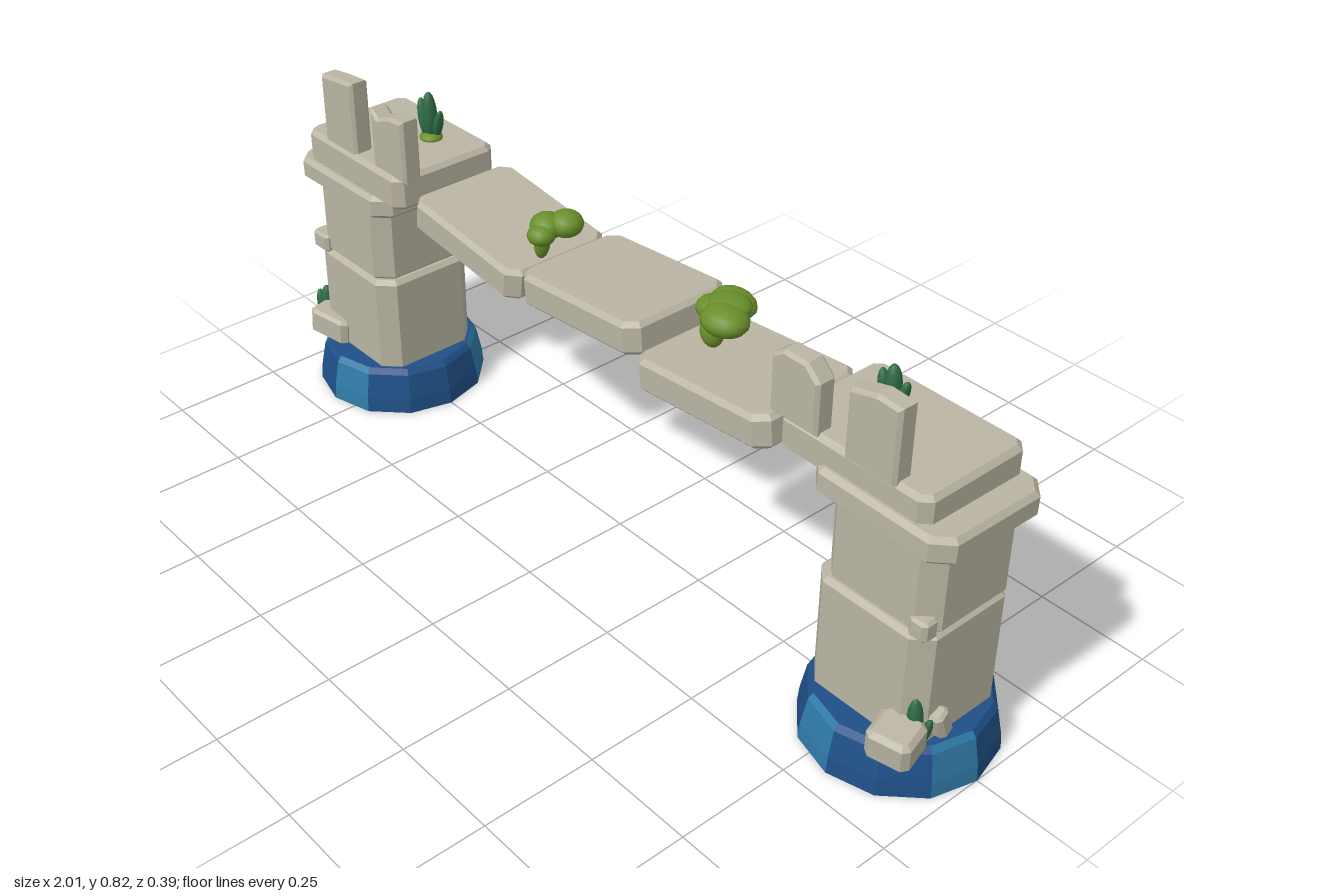
import * as THREE from 'three';

const mat = (name, color, extra = {}) => {
  const m = new THREE.MeshStandardMaterial({ color, ...extra });
  m.name = name;
  return m;
};

export function createModel() {
  const stone = mat('stone', 0xbab5a3);
  const deepBlue = mat('deepBlue', 0x1f5088);
  const lightBlue = mat('lightBlue', 0x2f7aa6);
  const moss = mat('moss', 0x6a8f2a);
  const leaf = mat('leaf', 0x2f6b45);

  const model = new THREE.Group();
  model.name = 'ruinedBridge';

  const add = (parent, name, geo, material, pos, rot = [0, 0, 0]) => {
    const m = new THREE.Mesh(geo, material);
    m.name = name;
    m.position.set(...pos);
    m.rotation.set(...rot);
    parent.add(m);
    return m;
  };

  // Stone block: chamfered upright corners and bevelled top and bottom edges
  const blockGeo = (w, h, d, c, b) => {
    const x = w / 2, z = d / 2;
    const s = new THREE.Shape([
      [x - c, -z], [x, -z + c], [x, z - c], [x - c, z],
      [-x + c, z], [-x, z - c], [-x, -z + c], [-x + c, -z],
    ].map(p => new THREE.Vector2(...p)));
    const g = new THREE.ExtrudeGeometry(s, {
      depth: h - 2 * b, bevelEnabled: true, bevelThickness: b,
      bevelSize: b, bevelOffset: -b, bevelSegments: 1,
    });
    g.translate(0, 0, b - h / 2);
    g.rotateX(-Math.PI / 2);
    return g;
  };

  // Block given by its extents on each axis
  const block = (parent, name, [x0, x1], [y0, y1], [z0, z1], c, b, rot) =>
    add(parent, name, blockGeo(x1 - x0, y1 - y0, z1 - z0, c, b), stone,
      [(x0 + x1) / 2, (y0 + y1) / 2, (z0 + z1) / 2], rot);

  // Broken upright stone: outline seen from the front, with a chipped top
  const upright = (parent, name, outline, z) => {
    const s = new THREE.Shape(outline.map(p => new THREE.Vector2(...p)));
    const g = new THREE.ExtrudeGeometry(s, {
      depth: 0.032, bevelEnabled: true, bevelThickness: 0.007,
      bevelSize: 0.007, bevelOffset: -0.007, bevelSegments: 1,
    });
    add(parent, name, g, stone, [0, 0, z - 0.016]);
  };

  // Faceted foot with some facets in the lighter blue
  const foot = (parent, x, lightFacets) => {
    const profile = [[0, 0], [0.196, 0], [0.193, 0.035], [0.181, 0.095], [0.171, 0.108], [0, 0.108]];
    const sides = 12, per = 6 * (profile.length - 1);
    const g = new THREE.LatheGeometry(profile.map(p => new THREE.Vector2(...p)), sides).toNonIndexed();
    g.computeVertexNormals();
    for (let i = 0; i < sides; i++) {
      const light = lightFacets.includes(i) ? 1 : 0;
      g.addGroup(i * per, 6, 0);
      g.addGroup(i * per + 6, 18, light);
      g.addGroup(i * per + 24, 6, 0);
    }
    add(parent, 'foot', g, [deepBlue, lightBlue], [x, 0, 0]);
  };

  // Group of ellipsoids, each [x, y, z, rx, ry, rz, tilt]
  const blobs = (parent, name, material, list) => {
    const grp = new THREE.Group();
    grp.name = name;
    for (const [x, y, z, rx, ry, rz, tilt = 0] of list) {
      add(grp, name + 'Lobe', new THREE.SphereGeometry(1, 14, 10), material, [x, y, z], [0, 0, tilt])
        .scale.set(rx, ry, rz);
    }
    parent.add(grp);
  };

  // Pointed plant with a mossy tuft at its root
  const plant = (parent, x, y, z, h) => {
    blobs(parent, 'plantLeaf', leaf, [
      [x, y + h * 0.52, z, 0.015, h * 0.48, 0.017, 0.06],
      [x - 0.016, y + h * 0.42, z + 0.006, 0.011, h * 0.42, 0.013, 0.2],
      [x + 0.018, y + h * 0.34, z - 0.008, 0.01, h * 0.34, 0.012, -0.28],
    ]);
    blobs(parent, 'plantRoot', moss, [[x, y + 0.005, z, 0.027, 0.013, 0.026]]);
  };

  // Left tower
  const left = new THREE.Group();
  left.name = 'leftTower';
  model.add(left);
  foot(left, -0.808, [0, 4, 7, 10]);
  block(left, 'lowerPillar', [-0.948, -0.672], [0.1, 0.338], [-0.125, 0.125], 0.035, 0.01);
  block(left, 'upperPillar', [-0.937, -0.682], [0.335, 0.52], [-0.12, 0.12], 0.035, 0.01);
  block(left, 'capital', [-0.978, -0.642], [0.515, 0.568], [-0.14, 0.14], 0.035, 0.009, [0, 0, 0.02]);
  block(left, 'topSlab', [-0.921, -0.57], [0.572, 0.652], [-0.13, 0.138], 0.02, 0.01, [0, 0, 0.01]);
  upright(left, 'tallUpright', [[-0.85, 0.64], [-0.732, 0.64], [-0.732, 0.818], [-0.79, 0.812], [-0.85, 0.802]], 0.108);
  upright(left, 'shortUpright', [[-0.668, 0.645], [-0.553, 0.645], [-0.553, 0.792], [-0.6, 0.788], [-0.645, 0.77], [-0.668, 0.785]], 0.105);
  block(left, 'ledgeStone', [-0.948, -0.892], [0.333, 0.377], [0.09, 0.132], 0.008, 0.006);
  block(left, 'fallenStone', [-0.955, -0.842], [0.107, 0.172], [0.09, 0.155], 0.012, 0.008, [0, 0.25, -0.08]);
  plant(left, -0.692, 0.65, -0.043, 0.112);
  plant(left, -0.962, 0.098, 0.1, 0.105);

  // Right tower
  const right = new THREE.Group();
  right.name = 'rightTower';
  model.add(right);
  foot(right, 0.805, [2, 5, 8, 11]);
  block(right, 'lowerPillar', [0.665, 0.941], [0.1, 0.361], [-0.125, 0.125], 0.035, 0.01);
  block(right, 'upperPillar', [0.682, 0.944], [0.362, 0.545], [-0.12, 0.12], 0.035, 0.01);
  block(right, 'capital', [0.65, 0.972], [0.54, 0.597], [-0.141, 0.141], 0.035, 0.01, [-0.02, 0, -0.015]);
  block(right, 'topSlab', [0.562, 0.915], [0.578, 0.652], [-0.139, 0.125], 0.02, 0.01);
  upright(right, 'tallUpright', [[0.727, 0.64], [0.845, 0.64], [0.845, 0.8], [0.79, 0.803], [0.727, 0.786]], 0.106);
  upright(right, 'shortUpright', [[0.546, 0.645], [0.662, 0.645], [0.662, 0.755], [0.63, 0.785], [0.575, 0.785], [0.546, 0.765]], 0.106);
  block(right, 'ledgeStone', [0.9, 0.942], [0.36, 0.404], [0.088, 0.128], 0.008, 0.006);
  block(right, 'fallenStone', [0.875, 0.965], [0.104, 0.172], [0.105, 0.19], 0.012, 0.01, [0.08, 0.25, -0.06]);
  block(right, 'smallFallenStone', [0.918, 0.962], [0.115, 0.178], [0.043, 0.08], 0.008, 0.006, [0.35, 0.2, 0]);
  plant(right, 0.682, 0.65, -0.043, 0.085);
  plant(right, 0.925, 0.1, 0.105, 0.115);

  // Three tilted walkway slabs: centre x, centre y, near and far z, tilt
  const deck = new THREE.Group();
  deck.name = 'walkway';
  model.add(deck);
  for (const [x, y, z0, z1, tilt] of [
    [-0.376, 0.563, -0.142, 0.12, -0.115],
    [-0.005, 0.578, -0.143, 0.12, 0.09],
    [0.367, 0.568, -0.124, 0.138, 0.09],
  ]) {
    block(deck, 'walkwaySlab', [x - 0.177, x + 0.177], [y - 0.036, y + 0.036], [z0, z1], 0.026, 0.01, [0, 0, tilt]);
  }

  // Mossy bushes on the walkway
  blobs(model, 'smallBush', moss, [
    [-0.168, 0.672, 0, 0.037, 0.028, 0.037],
    [-0.192, 0.668, 0.03, 0.037, 0.027, 0.036],
    [-0.18, 0.66, 0.055, 0.03, 0.022, 0.03],
    [-0.197, 0.63, 0.04, 0.016, 0.038, 0.018, -0.12],
  ]);
  blobs(model, 'largeBush', moss, [
    [0.272, 0.668, -0.05, 0.052, 0.028, 0.038],
    [0.308, 0.67, 0.008, 0.052, 0.03, 0.045],
    [0.26, 0.664, -0.015, 0.042, 0.025, 0.038],
    [0.29, 0.682, -0.022, 0.045, 0.02, 0.042],
    [0.272, 0.628, 0.005, 0.024, 0.034, 0.024, 0.2],
  ]);

  return model;
}
